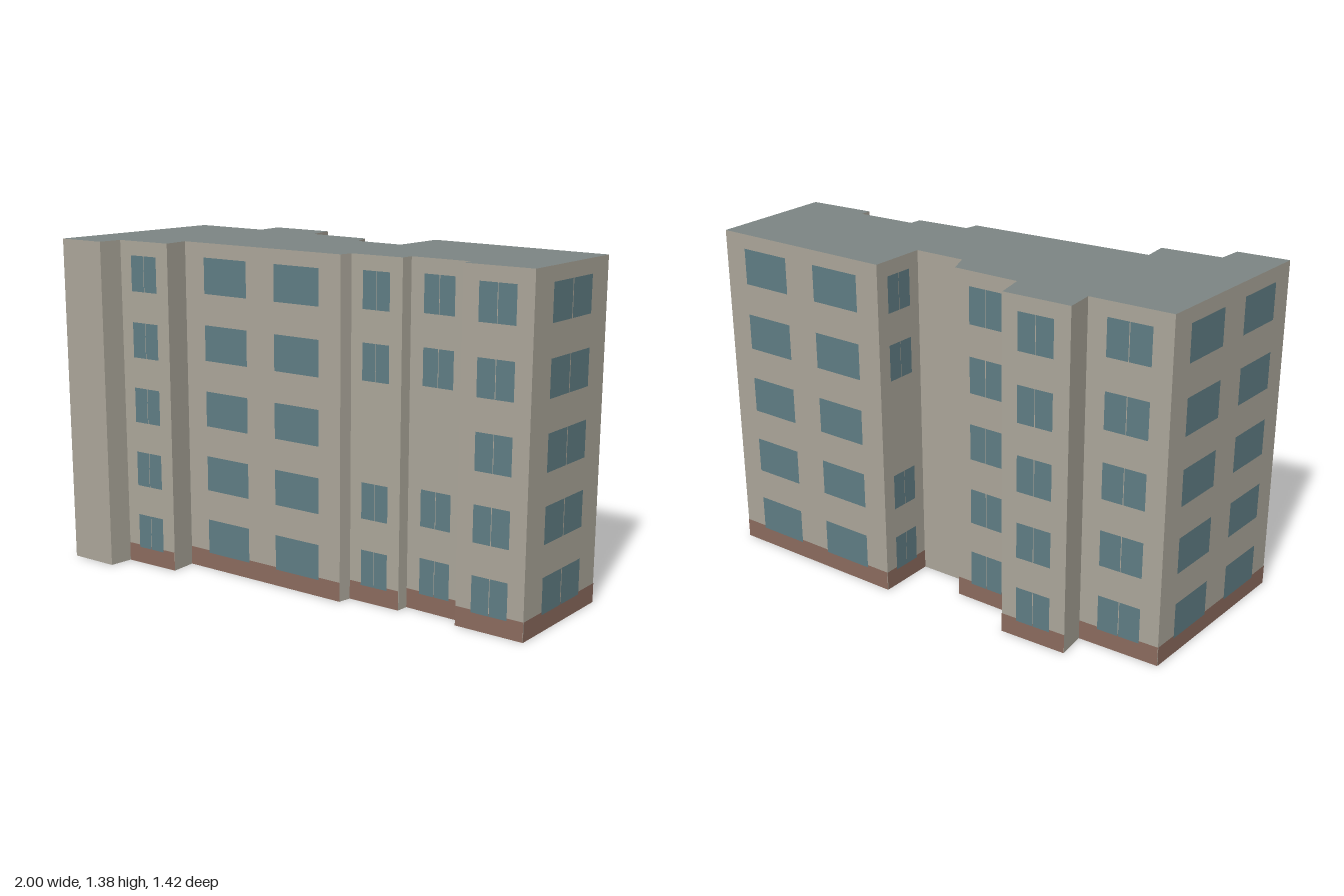
import * as THREE from 'three';

const HEIGHT = 1.385, PLINTH = 0.08, FLOORS = 5;
const WINDOW_BASE = 0.07, WINDOW_HEIGHT = 0.148, FLOOR_STEP = 0.277;

// Window layouts, as [start, end] fractions along a wall
const CASEMENT = [[0.235, 0.495], [0.505, 0.765]];
const PAIR = [[0.13, 0.41], [0.59, 0.87]];

// Floor plan corners: x, z, windows on the wall to the next corner, whether the middle floor is blank
const PLAN = [
  [-1.0, -0.065, CASEMENT], [-0.675, -0.16],
  [-0.715, -0.275, CASEMENT], [-0.445, -0.355],
  [-0.39, -0.24, CASEMENT], [-0.12, -0.31],
  [-0.06, -0.23], [0.145, -0.285, CASEMENT, true],
  [0.09, -0.515, PAIR], [0.86, -0.71, CASEMENT],
  [1.0, -0.195, CASEMENT], [0.725, -0.105],
  [0.712, -0.15, CASEMENT, true], [0.47, -0.075],
  [0.48, -0.025, CASEMENT, true], [0.265, 0.05],
  [0.27, 0.105, PAIR], [-0.465, 0.35],
  [-0.43, 0.455, CASEMENT], [-0.665, 0.54],
  [-0.65, 0.64], [-0.85, 0.708, PAIR],
];

const coloured = (color, side = THREE.FrontSide) => {
  const material = new THREE.MeshStandardMaterial({ side });
  material.color.set(color);
  return material;
};

export function createModel() {
  const building = new THREE.Group();
  building.name = 'apartmentBlock';
  const wallMaterial = coloured(0xaaa599, THREE.DoubleSide);
  const roofMaterial = coloured(0x7c8583, THREE.DoubleSide);
  const plinthMaterial = coloured(0x8a6a5d);
  const glassMaterial = coloured(0x5f7c83);

  PLAN.forEach(([ax, az, windows, blankMiddle], i) => {
    const [bx, bz] = PLAN[(i + 1) % PLAN.length];
    const length = Math.hypot(bx - ax, bz - az);

    // Facade group: origin at the foot of the wall's middle, +z facing outwards
    const facade = new THREE.Group();
    facade.name = 'facade';
    facade.position.set((ax + bx) / 2, 0, (az + bz) / 2);
    facade.rotation.y = Math.atan2(bz - az, ax - bx);
    building.add(facade);

    // Upright panel spanning fractions t0..t1 of the wall
    const panel = (name, material, t0, t1, base, height, offset) => {
      const mesh = new THREE.Mesh(new THREE.PlaneGeometry((t1 - t0) * length, height), material);
      mesh.name = name;
      mesh.position.set((0.5 - (t0 + t1) / 2) * length, base + height / 2, offset);
      facade.add(mesh);
    };

    panel('wall', wallMaterial, 0, 1, 0, HEIGHT, 0);
    if (!windows) return;
    panel('plinth', plinthMaterial, 0, 1, 0, PLINTH, 0.0015);
    for (let floor = 0; floor < FLOORS; floor++) {
      if (blankMiddle && floor === 2) continue;
      for (const [t0, t1] of windows) {
        panel('window', glassMaterial, t0, t1, WINDOW_BASE + floor * FLOOR_STEP, WINDOW_HEIGHT, 0.003);
      }
    }
  });

  // Flat roof over the whole floor plan
  const outline = new THREE.Shape(PLAN.map(([x, z]) => new THREE.Vector2(x, -z)));
  const roof = new THREE.Mesh(new THREE.ShapeGeometry(outline).rotateX(-Math.PI / 2), roofMaterial);
  roof.name = 'roof';
  roof.position.y = HEIGHT;
  building.add(roof);

  return building;
}
